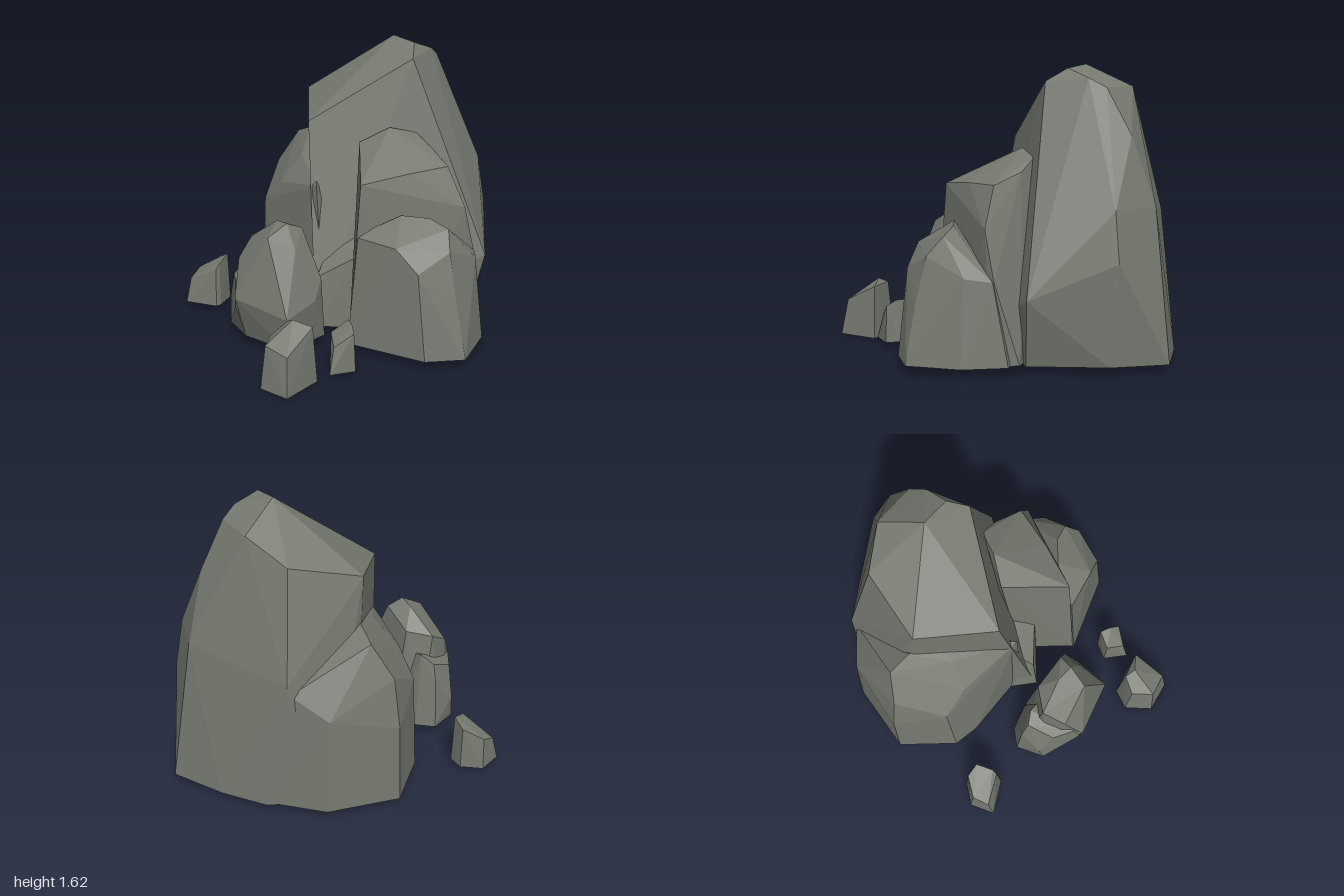
import * as THREE from 'three';
import { ConvexGeometry } from 'three/addons/geometries/ConvexGeometry.js';

const stone = new THREE.MeshStandardMaterial({ color: 0x767a70, flatShading: true });
stone.name = 'stone grey';

// Faceted boulder: flat footprint [x, z] at height y, plus chiselled corners [x, y, z]
function addRock(group, name, y, footprint, corners) {
  const points = [
    ...footprint.map(([x, z]) => new THREE.Vector3(x, y, z)),
    ...corners.map((c) => new THREE.Vector3(...c)),
  ];
  const mesh = new THREE.Mesh(new ConvexGeometry(points), stone);
  mesh.name = name;
  group.add(mesh);
}

export function createModel() {
  const group = new THREE.Group();
  group.name = 'rockCluster';

  // Tall rear peak
  addRock(group, 'mainPeak', 0.04,
    [[-0.05, -1], [-0.34, -0.85], [-0.56, -0.69], [-0.7, -0.4], [-0.6, -0.15], [-0.03, 0.33], [0.46, -0.43], [0.2, -0.79]],
    [
      [-0.13, 1.62, -0.38], [0.04, 1.6, -0.38], [0.04, 1.55, -0.52], [0, 1.5, -0.61], [-0.25, 1.5, -0.61],
      [-0.47, 1.38, -0.49], [-0.57, 1.28, -0.1], [-0.61, 0.78, -0.58], [-0.22, 1.19, 0.2], [0.12, 1.53, -0.29],
      [-0.02, 1.25, -0.76], [-0.08, 0.87, -0.88], [0.18, 0.87, -0.8], [0.2, 0.6, -0.84], [0.53, 0.41, -0.49],
    ]);

  // Broad left shoulder
  addRock(group, 'leftBoulder', 0.04,
    [[-0.88, -0.04], [-0.65, 0.22], [-0.5, 0.25], [-0.06, 0.24], [-0.1, -0.1], [-0.56, -0.66], [-0.78, -0.44]],
    [
      [-0.87, 0.5, -0.05], [-0.82, 0.78, -0.06], [-0.73, 0.97, -0.15], [-0.6, 1.02, -0.13], [-0.47, 1.01, -0.08],
      [-0.45, 0.92, 0.06], [-0.11, 0.84, 0.24], [-0.5, 0.76, 0.18], [-0.66, 0.62, 0.18], [-0.77, 0.6, -0.42],
      [-0.6, 0.72, -0.56],
    ]);

  // Low ledge wedged at the foot of the peak
  addRock(group, 'footLedge', 0.035,
    [[-0.2, 0.2], [-0.03, 0.35], [0.17, 0.18], [0.2, -0.1]],
    [[-0.03, 0.33, 0.31], [0.17, 0.48, 0.15], [-0.1, 0.5, 0.15], [0.1, 0.58, 0.02]]);

  // Upright slab on the right
  addRock(group, 'rightSlab', 0.05,
    [[0.08, 0.12], [0.3, 0.37], [0.48, 0.05], [0.6, -0.3], [0.5, -0.42], [0.2, -0.3]],
    [
      [0.01, 1.08, 0.02], [0.11, 1.16, -0.12], [0.18, 1.12, -0.26], [0.3, 1.05, -0.27], [0.47, 0.99, -0.22],
      [0.4, 0.98, 0.02], [0.3, 0.95, 0.28], [0.58, 0.77, -0.25], [0.59, 0.5, -0.32],
    ]);

  // Rounded lower right boulder
  addRock(group, 'rightBoulder', 0.05,
    [[0.3, 0.38], [0.75, 0.23], [0.88, 0.05], [0.75, -0.23], [0.57, -0.4], [0.35, -0.3]],
    [
      [0.31, 0.66, 0.31], [0.35, 0.71, 0.22], [0.43, 0.77, 0.1], [0.55, 0.76, 0], [0.66, 0.72, -0.03],
      [0.55, 0.65, 0.26], [0.68, 0.53, 0.22], [0.73, 0.62, 0.03], [0.8, 0.36, 0.05], [0.7, 0.52, -0.21],
      [0.6, 0.5, -0.32],
    ]);

  // Front boulder with its smaller left lobe
  addRock(group, 'frontBoulder', 0.05,
    [[-0.3, 0.5], [-0.18, 0.385], [0.13, 0.4], [0.15, 0.68], [-0.16, 0.73], [-0.3, 0.65]],
    [
      [-0.28, 0.58, 0.58], [-0.23, 0.5, 0.71], [-0.1, 0.71, 0.54], [0, 0.72, 0.55], [0.02, 0.68, 0.46],
      [-0.02, 0.66, 0.67], [-0.16, 0.3, 0.8], [0.18, 0.25, 0.71], [0.17, 0.3, 0.5], [0.08, 0.58, 0.56],
      [-0.18, 0.6, 0.46], [0.13, 0.4, 0.42],
    ]);
  addRock(group, 'frontLobe', 0.05,
    [[-0.43, 0.52], [-0.35, 0.43], [-0.2, 0.39], [-0.16, 0.73], [-0.37, 0.68]],
    [
      [-0.4, 0.33, 0.53], [-0.36, 0.44, 0.54], [-0.29, 0.48, 0.5], [-0.2, 0.46, 0.5], [-0.31, 0.37, 0.69],
      [-0.2, 0.38, 0.76], [-0.17, 0.25, 0.79], [-0.39, 0.2, 0.66],
    ]);

  // Loose stones with slanted tops
  addRock(group, 'leftPebble', 0.025,
    [[-0.88, 0.53], [-0.8, 0.43], [-0.71, 0.43], [-0.65, 0.55], [-0.65, 0.58], [-0.83, 0.67]],
    [[-0.86, 0.21, 0.54], [-0.79, 0.27, 0.44], [-0.71, 0.31, 0.44], [-0.67, 0.28, 0.53], [-0.67, 0.25, 0.56], [-0.83, 0.17, 0.63]]);
  addRock(group, 'frontPebble', 0,
    [[0.21, 0.87], [0.26, 0.76], [0.45, 0.73], [0.49, 0.97], [0.31, 1]],
    [[0.24, 0.24, 0.87], [0.28, 0.31, 0.78], [0.34, 0.34, 0.8], [0.43, 0.31, 0.74], [0.46, 0.21, 0.94], [0.32, 0.24, 0.97]]);
  addRock(group, 'rightPebble', 0.025,
    [[0.37, 0.57], [0.42, 0.48], [0.48, 0.49], [0.54, 0.54], [0.48, 0.67]],
    [[0.38, 0.21, 0.57], [0.42, 0.27, 0.48], [0.48, 0.27, 0.51], [0.53, 0.24, 0.54], [0.47, 0.17, 0.63]]);

  return group;
}
